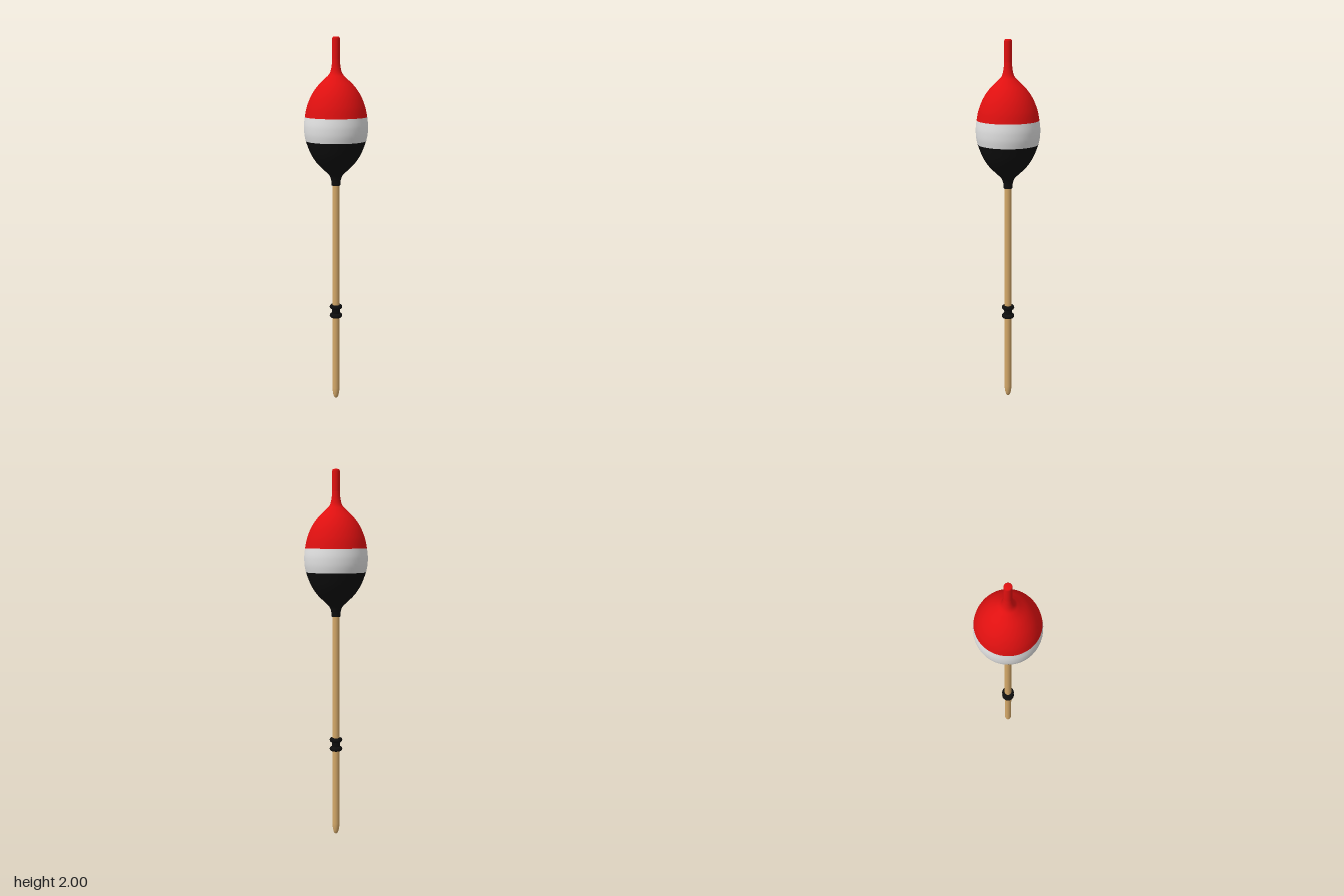
import * as THREE from 'three';

const material = (name, color) => {
  const m = new THREE.MeshStandardMaterial({ color });
  m.name = name;
  return m;
};

export function createModel() {
  const group = new THREE.Group();
  group.name = 'fishingFloat';
  const red = material('red paint', 0xe01010);
  const white = material('white paint', 0xe2e2e2);
  const black = material('black', 0x0e0e0e);
  const wood = material('pale wood', 0xd4a869);

  // Revolve [radius, height] pairs, listed from bottom to top
  const addLathe = (name, points, mat) => {
    const profile = points.map(([r, y]) => new THREE.Vector2(r, y));
    const mesh = new THREE.Mesh(new THREE.LatheGeometry(profile, 48), mat);
    mesh.name = name;
    group.add(mesh);
  };
  const smooth = (points, steps) =>
    new THREE.SplineCurve(points.map(([r, y]) => new THREE.Vector2(r, y)))
      .getPoints(steps).map((p) => [p.x, p.y]);

  // Wooden stem with a rounded lower tip
  addLathe('stem', [
    [0, 0], [0.007, 0.001], [0.012, 0.008], [0.016, 0.022],
    [0.019, 0.042], [0.02, 0.06], [0.02, 1.24],
  ], wood);

  // Bulb: one continuous shape painted in three bands
  addLathe('lowerBody', [[0, 1.22], [0.022, 1.22], ...smooth([
    [0.023, 1.221], [0.026, 1.25], [0.037, 1.277], [0.066, 1.305], [0.103, 1.343],
    [0.136, 1.395], [0.161, 1.46],
  ], 36)], black);
  addLathe('middleBand', smooth([
    [0.161, 1.46], [0.168, 1.495], [0.17, 1.53], [0.169, 1.555], [0.165, 1.587],
  ], 16), white);
  addLathe('upperBody', smooth([
    [0.165, 1.587], [0.154, 1.64], [0.131, 1.697], [0.098, 1.746], [0.056, 1.788],
    [0.034, 1.812], [0.024, 1.845], [0.02, 1.885],
  ], 40), red);

  // Antenna with a softly rounded end
  addLathe('antenna', [
    [0.02, 1.88], [0.02, 1.99], [0.019, 1.996], [0.016, 2], [0, 2],
  ], red);

  // Line keeper: a sleeve with two rounded rims
  addLathe('keeperSleeve', [[0.0205, 0.49], [0.024, 0.495], [0.021, 0.514], [0.024, 0.535], [0.0205, 0.54]], black);
  for (const [name, y] of [['lowerKeeperRing', 0.489], ['upperKeeperRing', 0.539]]) {
    const ring = new THREE.Mesh(new THREE.TorusGeometry(0.0225, 0.0125, 16, 48), black);
    ring.name = name;
    ring.rotation.x = Math.PI / 2;
    ring.position.y = y;
    group.add(ring);
  }
  return group;
}
